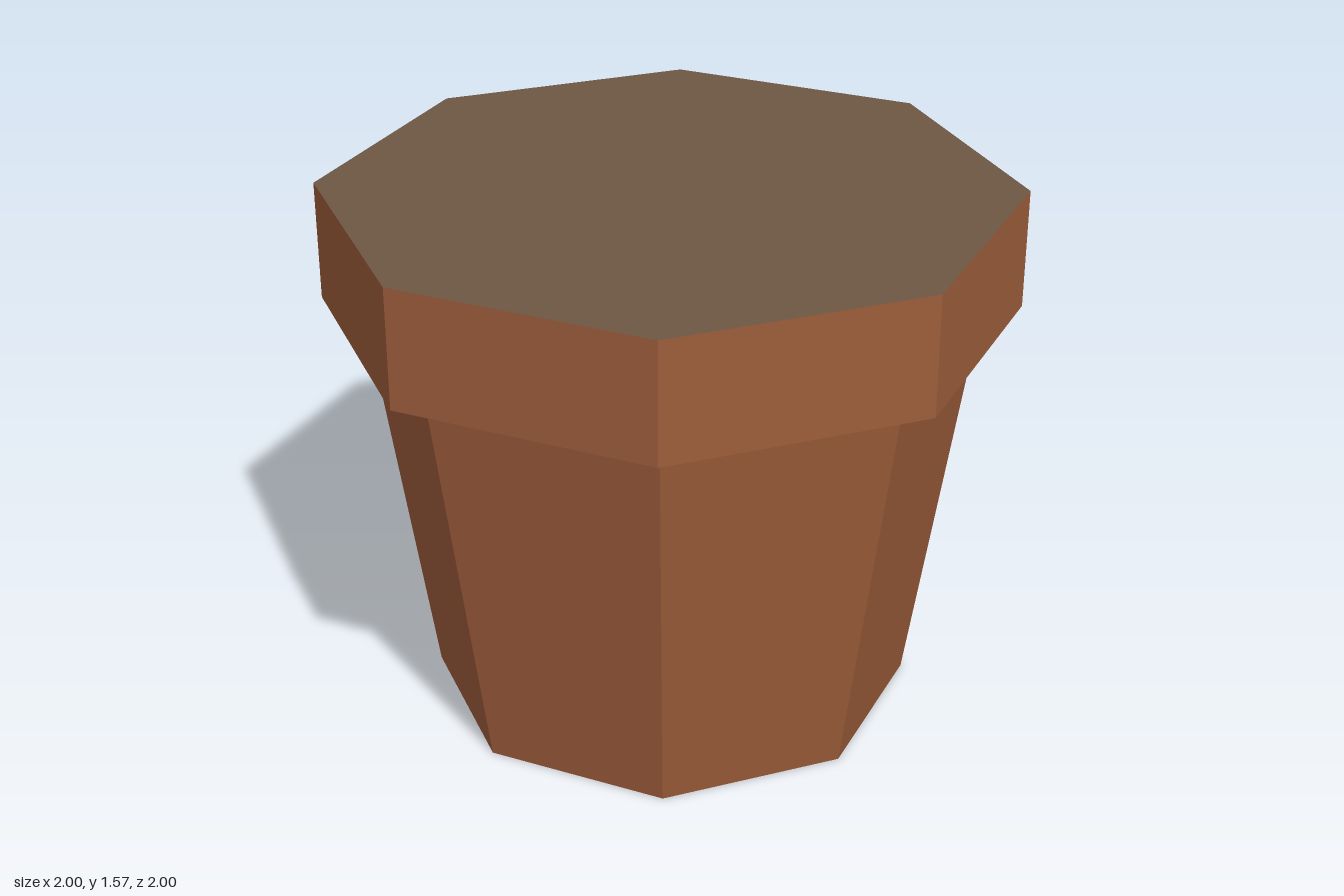
import * as THREE from 'three';

const SIDES = 8;
const BODY_TOP = 1.22;
const RIM_TOP = 1.57;

function material(name, color) {
  const m = new THREE.MeshStandardMaterial({ color, flatShading: true, side: THREE.DoubleSide });
  m.name = name;
  return m;
}

// Open eight-sided band between two heights
function band(name, topRadius, bottomRadius, bottom, top, mat) {
  const geometry = new THREE.CylinderGeometry(topRadius, bottomRadius, top - bottom, SIDES, 1, true);
  geometry.translate(0, (top + bottom) / 2, 0);
  const mesh = new THREE.Mesh(geometry, mat);
  mesh.name = name;
  return mesh;
}

export function createModel() {
  const group = new THREE.Group();
  group.name = 'flowerPot';
  const clay = material('terracotta', 0x9c5c3a);
  const earth = material('soil', 0x6e5643);

  // Tapered body, open underneath, and the wider collar around its top
  group.add(band('potBody', 0.89, 0.71, 0, BODY_TOP, clay));
  group.add(band('potRim', 1, 1, BODY_TOP, RIM_TOP, clay));

  // Soil fills the rim to its edge
  const soil = new THREE.Mesh(new THREE.CircleGeometry(1, SIDES).rotateX(-Math.PI / 2), earth);
  soil.name = 'soilSurface';
  soil.position.y = RIM_TOP;
  group.add(soil);

  return group;
}
